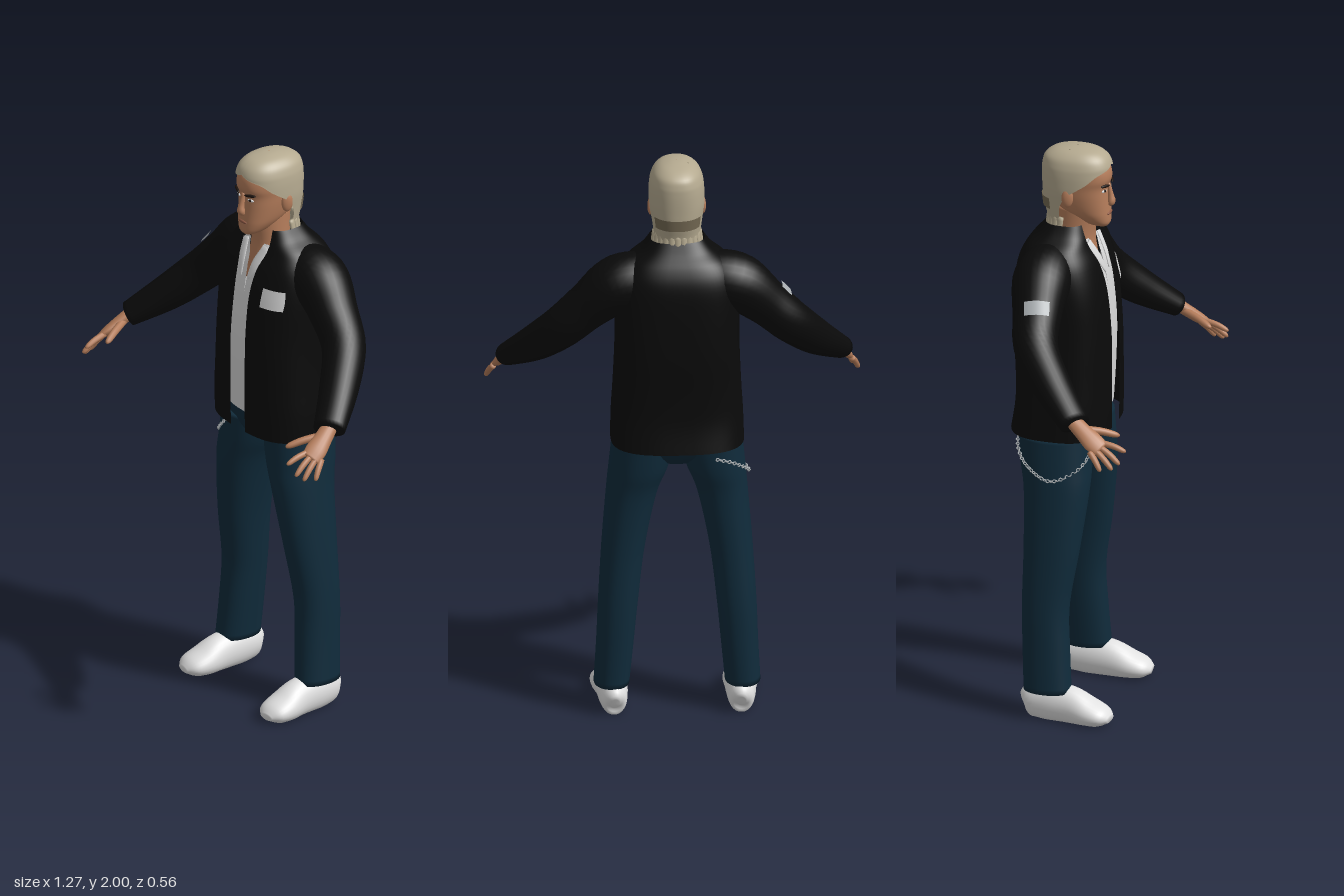
import * as THREE from 'three';

const TAU = Math.PI * 2;
const mat = (name, color, double) => {
  const m = new THREE.MeshStandardMaterial({ color });
  m.name = name;
  if (double) m.side = THREE.DoubleSide;
  return m;
};

// smooth interpolation through rows of numbers
function smooth(rows, n) {
  const out = [], last = rows.length - 1;
  for (let i = 0; i <= n; i++) {
    const f = (i / n) * last, k = Math.min(Math.floor(f), last - 1), t = f - k;
    const p = [-1, 0, 1, 2].map(d => rows[Math.max(0, Math.min(last, k + d))]);
    out.push(rows[0].map((_, c) => {
      const [a, b, d, e] = p.map(r => r[c]);
      const v0 = (d - a) / 2, v1 = (e - b) / 2;
      return (2 * b - 2 * d + v0 + v1) * t ** 3 + (3 * d - 3 * b - 2 * v0 - v1) * t * t + v0 * t + b;
    }));
  }
  return out;
}

// skin a stack of rings; closed rings get end caps
function skin(rings, closed) {
  if (closed) {
    const mid = r => {
      const c = r.reduce((s, p) => s.add(p), new THREE.Vector3()).divideScalar(r.length);
      return r.map(() => c);
    };
    rings = [mid(rings[0]), ...rings, mid(rings[rings.length - 1])];
  }
  const n = rings[0].length, pos = [], idx = [];
  rings.forEach(r => r.forEach(p => pos.push(p.x, p.y, p.z)));
  for (let i = 0; i < rings.length - 1; i++)
    for (let j = 0; j < (closed ? n : n - 1); j++) {
      const a = i * n + j, b = i * n + (j + 1) % n;
      idx.push(a, b, a + n, b, b + n, a + n);
    }
  const g = new THREE.BufferGeometry();
  g.setAttribute('position', new THREE.Float32BufferAttribute(pos, 3));
  g.setIndex(idx);
  g.computeVertexNormals();
  return g;
}

const pw = (v, e) => Math.sign(v) * Math.abs(v) ** e;

// horizontal sections, bottom to top: [y, centreX, halfWidth, zFront, zBack, startAngle, endAngle]
function shell(rows, e = 1, n = 32, sides = 40) {
  const closed = rows[0].length < 6;
  return skin(smooth(rows, n).map(([y, cx, rx, zf, zb, a0 = 0, a1 = TAU]) =>
    Array.from({ length: closed ? sides : sides + 1 }, (_, j) => {
      const t = a0 + (a1 - a0) * j / sides;
      return new THREE.Vector3(cx + rx * pw(Math.sin(t), e), y, (zf + zb) / 2 + (zf - zb) / 2 * pw(Math.cos(t), e));
    })), closed);
}

// elliptical sections along a path: [x, y, z, halfWidth, halfHeight]
function sweep(pts, up = [0, 1, 0], n = 20, sides = 20, arc = null) {
  const rows = smooth(pts, n), P = rows.map(r => new THREE.Vector3(r[0], r[1], r[2]));
  const U = new THREE.Vector3(...up);
  return skin(rows.map((r, i) => {
    const T = P[Math.min(i + 1, n)].clone().sub(P[Math.max(i - 1, 0)]).normalize();
    const S = T.clone().cross(U).normalize(), V = S.clone().cross(T);
    return Array.from({ length: arc ? sides + 1 : sides }, (_, j) => {
      const t = arc ? -arc + 2 * arc * j / sides : TAU * j / sides;
      return P[i].clone().addScaledVector(S, r[3] * Math.sin(t)).addScaledVector(V, r[4] * Math.cos(t));
    });
  }), !arc);
}

export function createModel() {
  const root = new THREE.Group();
  root.name = 'standingMan';
  const M = {
    jacket: mat('black jacket', 0x0a0a0a, true), jeans: mat('dark blue denim', 0x102b3b),
    shirt: mat('white shirt', 0xd8d8d8, true), shoe: mat('white shoe', 0xe0e0e0),
    skin: mat('skin', 0xb57d5b), hair: mat('blond hair', 0xb5aa90, true),
    shade: mat('hair shade', 0x756a54, true), dark: mat('dark brow', 0x1e140f),
    lip: mat('lip', 0x8f5a45), silver: mat('silver', 0xa8adb0),
  };
  const add = (name, geo, m, parent = root) => {
    const mesh = new THREE.Mesh(geo, m);
    mesh.name = name;
    parent.add(mesh);
    return mesh;
  };
  const blob = (name, m, p, s, ry = 0, rz = 0) => {
    const b = add(name, new THREE.SphereGeometry(1, 16, 12), m);
    b.position.set(...p); b.scale.set(...s); b.rotation.set(0, ry, rz);
    return b;
  };

  // jacket, open at the front; last number is half the opening
  const E = 0.7;
  const jacket = [[1, .225, .06, -.28, .038], [1.1, .222, .062, -.265, .04], [1.2, .216, .062, -.265, .04],
    [1.35, .21, .06, -.273, .04], [1.5, .21, .045, -.27, .04], [1.6, .2, .02, -.26, .05],
    [1.66, .17, -.008, -.235, .065], [1.7, .12, -.02, -.2, .068], [1.735, .092, -.03, -.175, .062]];
  add('jacket', shell(jacket.map(([y, rx, zf, zb, g]) => {
    const a = Math.asin((g / rx) ** (1 / E));
    return [y, 0, rx, zf, zb, a, TAU - a];
  }), E, 40, 56), M.jacket);
  add('chestPatch', shell([[1.488, 0, .214, .053, -.272, .35, .9], [1.52, 0, .213, .046, -.272, .35, .92],
    [1.555, 0, .211, .037, -.27, .36, .9]], E, 8, 12), M.shirt);
  add('sleevePatch', sweep([[-.29, 1.499, -.122, .091, .09], [-.325, 1.465, -.112, .088, .085]],
    [0, 1, 0], 4, 10, .5), M.silver);

  // shirt with a neck opening and collar
  add('shirt', shell([[1.055, 0, .18, .034, -.2, 0, TAU], [1.2, 0, .18, .043, -.2, 0, TAU],
    [1.35, 0, .18, .046, -.2, 0, TAU], [1.5, 0, .17, .034, -.2, 0, TAU], [1.59, 0, .15, .015, -.19, .02, TAU - .02],
    [1.64, 0, .12, -.005, -.18, .1, TAU - .1], [1.68, 0, .085, -.02, -.16, .35, TAU - .35]], .8), M.shirt);

  // jeans
  add('hips', shell([[.92, 0, .07, -.05, -.17], [.96, 0, .17, -.005, -.215], [1.01, 0, .212, .016, -.238],
    [1.07, 0, .205, .027, -.235]], .85), M.jeans);

  for (const s of [1, -1]) {
    const side = s > 0 ? 'left' : 'right';
    const flip = pts => pts.map(p => [p[0] * s, ...p.slice(1)]);
    add(side + 'JeansLeg', shell([[.1, .221, .06, -.026, -.19], [.25, .21, .063, -.036, -.197],
      [.4, .2, .067, -.04, -.202], [.6, .182, .073, -.01, -.202], [.8, .153, .086, .014, -.21],
      [.9, .13, .1, .016, -.228], [1, .114, .106, .014, -.238]].map(r => [r[0], r[1] * s, ...r.slice(2)]), .9), M.jeans);

    // shoe, flattened at the sole
    const shoe = sweep(flip([[.213, .05, -.192, .015, .02], [.214, .055, -.175, .04, .055], [.216, .055, -.11, .05, .07],
      [.218, .05, -.03, .055, .068], [.223, .035, .04, .062, .05], [.228, .028, .09, .054, .033],
      [.231, .022, .117, .025, .012]]), [0, 1, 0], 28, 28);
    const sp = shoe.attributes.position;
    for (let i = 0; i < sp.count; i++) sp.setY(i, Math.max(sp.getY(i), 0));
    shoe.computeVertexNormals();
    add(side + 'Shoe', shoe, M.shoe);

    // sleeve and hand
    add(side + 'Sleeve', sweep(flip([[.1, 1.585, -.13, .09, .1], [.2, 1.573, -.135, .1, .1], [.3, 1.49, -.12, .083, .08],
      [.385, 1.405, -.095, .075, .073], [.47, 1.31, -.01, .067, .062], [.557, 1.222, .097, .055, .04]]),
      [0, 1, 0], 32, 28), M.jacket);
    const hand = new THREE.Group();
    hand.name = side + 'Hand';
    root.add(hand);
    const up = [.66 * s, .69, .31];
    add('palm', sweep(flip([[.548, 1.236, .08, .026, .021], [.565, 1.2, .13, .031, .02],
      [.578, 1.172, .17, .036, .017], [.586, 1.155, .2, .03, .01]]), up, 12, 16), M.skin, hand);
    [['index', .566, 1.17, .195, .56, 1.145, .278], ['middle', .582, 1.16, .195, .592, 1.11, .266],
      ['ring', .595, 1.152, .182, .611, 1.095, .246], ['little', .604, 1.148, .165, .629, 1.092, .21],
      ['thumb', .55, 1.205, .125, .498, 1.175, .236]].forEach(([name, x, y, z, X, Y, Z]) => {
      const r = name === 'thumb' ? .013 : .0105;
      const at = (t, k, h) => [x + (X - x) * t, y + (Y - y) * t + h, z + (Z - z) * t, r * k, r * k];
      add(name + 'Finger', sweep(flip([at(0, 1, 0), at(.5, 1, .004), at(.88, .8, .001), at(1, .3, 0)]), up, 10, 10), M.skin, hand);
    });

    // shirt collar flap, ear, eye and brow
    add(side + 'CollarFlap', sweep(flip([[.02, 1.56, .032, .004, .003], [.036, 1.61, .016, .017, .004],
      [.055, 1.675, -.018, .016, .004]]), [0, 0, 1], 8, 12), M.shirt);
    blob(side + 'Ear', M.skin, [.087 * s, 1.838, -.082], [.011, .034, .02], -.3 * s);
    blob(side + 'EyeWhite', M.shirt, [.033 * s, 1.856, .031], [.013, .005, .004], .35 * s);
    blob(side + 'Iris', M.dark, [.033 * s, 1.857, .0335], [.0055, .005, .003], .35 * s);
    blob(side + 'Brow', M.dark, [.036 * s, 1.876, .036], [.023, .0055, .005], .4 * s, .12 * s);
  }

  // neck and head
  add('neck', shell([[1.54, 0, .1, .005, -.16], [1.62, 0, .075, -.006, -.15], [1.69, 0, .062, -.012, -.145],
    [1.79, 0, .06, .005, -.15]], 1, 16), M.skin);
  add('head', shell([[1.722, 0, .022, .034, -.01], [1.735, 0, .042, .042, -.05], [1.762, 0, .06, .042, -.1],
    [1.79, 0, .07, .04, -.14], [1.83, 0, .077, .037, -.16], [1.865, 0, .08, .036, -.17], [1.895, 0, .082, .044, -.175],
    [1.93, 0, .08, .038, -.175], [1.96, 0, .068, .015, -.16], [1.98, 0, .04, -.02, -.12]], .85, 40), M.skin);
  add('nose', sweep([[0, 1.875, .036, .007, .006], [0, 1.835, .043, .009, .01], [0, 1.81, .047, .015, .013],
    [0, 1.798, .041, .012, .008]], [0, 0, 1], 12, 14), M.skin);
  blob('mouth', M.lip, [0, 1.769, .04], [.023, .006, .0055]);

  // hair swept back and long at the nape
  const hairRow = (y, rx, zf, zb, a) => [y, 0, rx, zf, zb, a, TAU - a];
  add('hair', shell([hairRow(1.71, .08, 0, -.172, 1.85), hairRow(1.75, .083, .02, -.175, 1.9), hairRow(1.8, .088, .04, -.188, 1.85),
    hairRow(1.85, .094, .045, -.192, 1.6), hairRow(1.89, .094, .048, -.194, 1.15), hairRow(1.92, .092, .047, -.194, .75),
    hairRow(1.942, .088, .045, -.192, .03), hairRow(1.968, .077, .032, -.182, 0), hairRow(1.988, .055, .004, -.15, 0),
    hairRow(1.998, .025, -.04, -.105, 0), hairRow(2, .002, -.07, -.074, 0)], .88, 44, 48), M.hair);
  add('napeBand', shell([hairRow(1.785, .089, .04, -.19, 2.2), hairRow(1.825, .094, .046, -.195, 2.2)], .88, 4, 24), M.shade);

  // loose ends below the nape
  for (let i = 0; i < 11; i++) {
    const a = 1.9 + (TAU - 3.8) * i / 10, x = Math.sin(a), z = Math.cos(a);
    const drop = 1.685 + .014 * (i % 3);
    add('hairEnd', sweep([[.095 * x, drop, -.085 + .1 * z, .002, .002], [.086 * x, 1.72, -.083 + .092 * z, .011, .007],
      [.08 * x, 1.76, -.08 + .09 * z, .012, .007]], [x, 0, z], 6, 8), M.hair);
  }

  // short dark tufts over the crown
  let seed = 7;
  const rnd = () => (seed = (seed * 16807) % 2147483647) / 2147483647;
  for (let i = 0; i < 34; i++) {
    const a = rnd() * TAU, r = .3 + .62 * Math.sqrt(rnd());
    const h = Math.sqrt(1 - r * r);
    const t = blob('hairTuft', M.shade, [.088 * r * Math.sin(a), 1.92 + .079 * h, -.075 + .113 * r * Math.cos(a)], [.006, .003, .004]);
    t.rotation.set(r * Math.cos(a), a, -r * Math.sin(a));
  }

  // chain looped round the right thigh
  const path = new THREE.CatmullRomCurve3([[-.12, .975, .02], [-.17, .925, .01], [-.212, .885, -.03], [-.242, .865, -.1],
    [-.225, .91, -.185], [-.18, .945, -.225], [-.13, .965, -.243]].map(p => new THREE.Vector3(...p)));
  const link = new THREE.TorusGeometry(.0055, .0022, 5, 10);
  for (let i = 0; i <= 40; i++) {
    const m = add('chainLink', link, M.silver);
    m.position.copy(path.getPointAt(i / 40));
    m.lookAt(m.position.clone().add(path.getTangentAt(i / 40)));
    m.rotateY(Math.PI / 2);
    m.rotateX((i % 2) * Math.PI / 2);
  }
  return root;
}
